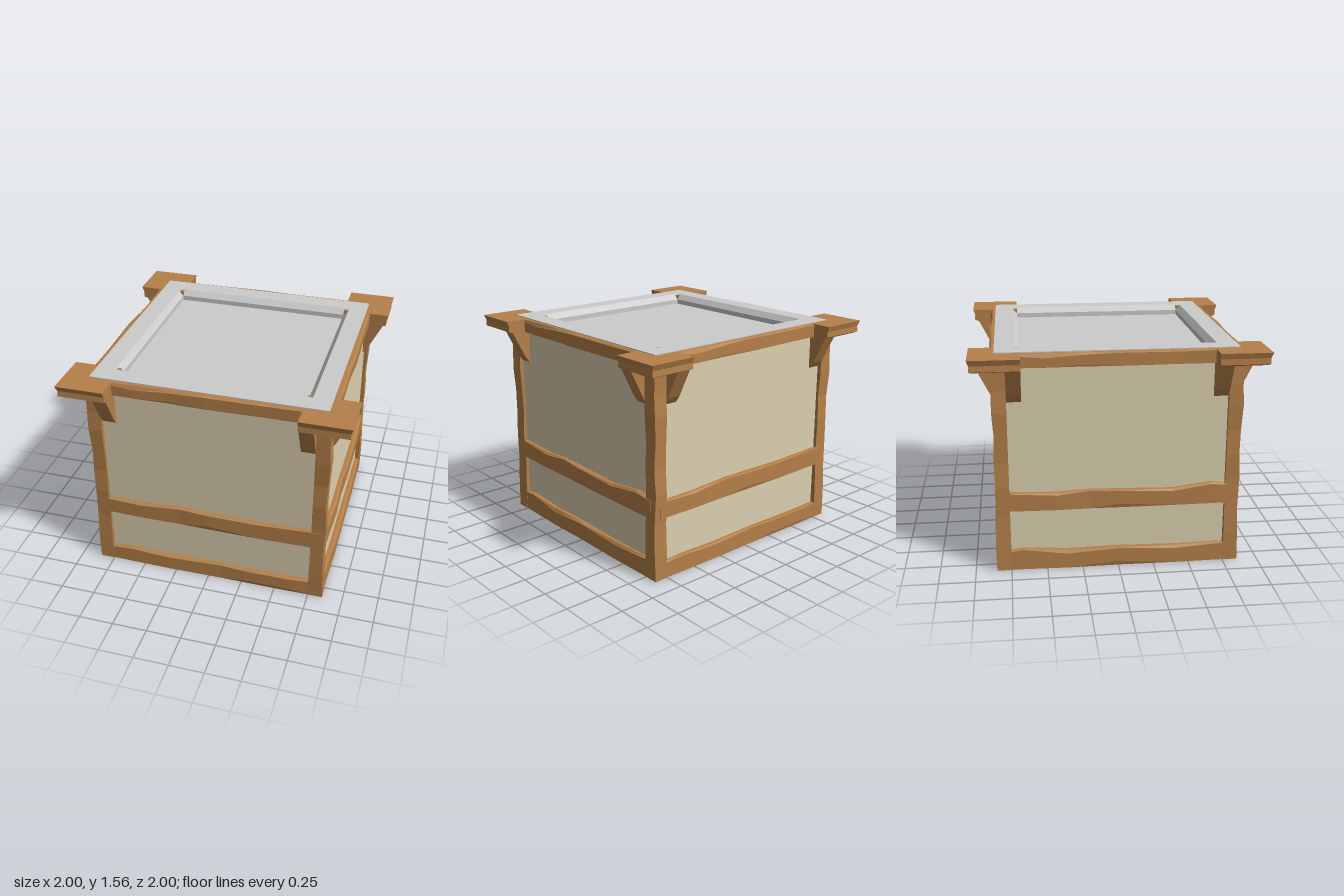
import * as THREE from 'three';

const wood = new THREE.MeshStandardMaterial({ color: 0xb5804a, flatShading: true });
const plaster = new THREE.MeshStandardMaterial({ color: 0xdcd0b0, flatShading: true });
const grey = new THREE.MeshStandardMaterial({ color: 0xcccccc, flatShading: true });

function part(name, geometry, material) {
  const flat = geometry.index ? geometry.toNonIndexed() : geometry;
  flat.computeVertexNormals();
  const mesh = new THREE.Mesh(flat, material);
  mesh.name = name;
  return mesh;
}

// Faceted solid through a row of equal-sized cross-sections, capped at both ends
function loft(sections) {
  const pos = [];
  const tri = (...points) => points.forEach((p) => pos.push(...p));
  const n = sections[0].length;
  for (let i = 0; i + 1 < sections.length; i++) {
    const s = sections[i], t = sections[i + 1];
    for (let j = 0; j < n; j++) {
      const k = (j + 1) % n;
      tri(s[j], t[j], t[k]);
      tri(s[j], t[k], s[k]);
    }
  }
  const first = sections[0], last = sections[sections.length - 1];
  for (let j = 1; j + 1 < n; j++) {
    tri(first[0], first[j], first[j + 1]);
    tri(last[0], last[j + 1], last[j]);
  }
  const g = new THREE.BufferGeometry();
  g.setAttribute('position', new THREE.Float32BufferAttribute(pos, 3));
  return g;
}

// Rough-hewn beam along x; each row: x, top, face depth, lift of lower edge, drop of upper edge
function beam(name, bottom, rows) {
  return part(name, loft(rows.map(([x, top, z, lift, drop]) => [
    [x, bottom, 0.8],
    [x, bottom, z - lift * 0.3],
    [x, bottom + lift + 0.002, z],
    [x, top - drop, z],
    [x, top, z - 0.015],
    [x, top, 0.8],
  ])), wood);
}

const topRows = [
  [-0.8, 1.553, 0.85, 0, 0.005], [-0.5, 1.553, 0.858, 0, 0.03], [-0.25, 1.553, 0.855, 0.01, 0.015],
  [0, 1.554, 0.862, 0, 0.006], [0.4, 1.554, 0.853, 0, 0.01], [0.8, 1.553, 0.852, 0, 0.004],
];
const sides = [
  { // front and back
    middle: [
      [-0.8, 0.565, 0.848, 0, 0.005], [-0.5, 0.565, 0.855, 0, 0.012], [-0.2, 0.58, 0.852, 0, 0.004],
      [0, 0.577, 0.862, 0.028, 0.006], [0.35, 0.57, 0.858, 0, 0.005], [0.8, 0.58, 0.848, 0, 0.003],
    ],
    lower: [
      [-0.8, 0.115, 0.85, 0, 0.01], [-0.6, 0.125, 0.855, 0, 0.004], [-0.3, 0.117, 0.858, 0, 0.01],
      [0.1, 0.125, 0.853, 0, 0.004], [0.28, 0.12, 0.86, 0.022, 0.004], [0.6, 0.12, 0.86, 0.02, 0.004],
      [0.8, 0.125, 0.85, 0, 0.004],
    ],
  },
  { // left and right
    middle: [
      [-0.8, 0.58, 0.848, 0, 0.005], [-0.42, 0.567, 0.858, 0, 0.015], [-0.2, 0.58, 0.85, 0, 0.004],
      [0, 0.575, 0.862, 0.028, 0.006], [0.38, 0.565, 0.855, 0, 0.015], [0.65, 0.6, 0.852, 0, 0.012],
      [0.8, 0.575, 0.848, 0, 0.003],
    ],
    lower: [
      [-0.8, 0.135, 0.85, 0, 0.005], [-0.66, 0.155, 0.853, 0, 0.005], [-0.36, 0.135, 0.86, 0, 0.025],
      [0, 0.14, 0.862, 0.03, 0.006], [0.4, 0.132, 0.857, 0, 0.02], [0.8, 0.138, 0.85, 0, 0.004],
    ],
  },
];

function createSide({ middle, lower }) {
  const side = new THREE.Group();
  side.add(beam('topBeam', 1.46, topRows), beam('middleBeam', 0.445, middle), beam('bottomBeam', 0.002, lower));
  return side;
}

// One corner: wavy post, flared cap block and two braces
function createCorner() {
  const corner = new THREE.Group();
  const edge = [
    [0.002, 0.855, 0.853], [0.2, 0.85, 0.856], [0.4, 0.843, 0.85], [0.62, 0.85, 0.843], [0.8, 0.84, 0.848],
    [0.98, 0.845, 0.84], [1.15, 0.853, 0.85], [1.3, 0.845, 0.85], [1.48, 0.85, 0.845],
  ];
  corner.add(part('cornerPost', loft(edge.map(([y, x, z]) => [
    [0.75, y, 0.75], [x, y, 0.75], [x, y, z], [0.75, y, z],
  ])), wood));

  const cap = [[1.465, 0.965, 0.965], [1.475, 0.988, 0.98], [1.515, 0.985, 0.978], [1.554, 1, 0.99]];
  corner.add(part('capBlock', loft(cap.map(([y, x, z]) => [
    [0.65, y, 0.65], [x, y, 0.65], [x, y, z], [0.65, y, z],
  ])), wood));

  const profile = [[0.8, 1.222], [0.825, 1.222], [0.86, 1.27], [0.915, 1.38], [0.96, 1.47], [0.8, 1.47]];
  corner.add(part('frontBrace', loft([0.65, 0.75].map((x) => profile.map(([d, y]) => [x, y, d]))), wood));
  corner.add(part('sideBrace', loft([0.75, 0.65].map((z) => profile.map(([d, y]) => [d, y, z]))), wood));
  return corner;
}

export function createModel() {
  const model = new THREE.Group();
  model.name = 'building';

  // Plaster walls and underside
  const walls = part('walls', new THREE.BoxGeometry(1.64, 1.47, 1.64), plaster);
  walls.position.y = 0.735;
  model.add(walls);

  // Flat roof with a bevelled, sunken centre
  const roofProfile = [[0.82, 1.46], [0.82, 1.56], [0.685, 1.56], [0.65, 1.52], [0.65, 1.485], [0, 1.485]]
    .map(([r, y]) => new THREE.Vector2(r * Math.SQRT2, y));
  const roof = new THREE.LatheGeometry(roofProfile, 4).rotateY(Math.PI / 4);
  model.add(part('roof', roof, grey));

  // Timber frame, repeated around the four sides
  for (let i = 0; i < 4; i++) {
    const side = createSide(sides[i % 2]);
    const corner = createCorner();
    side.name = 'sideBeams' + (i + 1);
    corner.name = 'corner' + (i + 1);
    side.rotation.y = corner.rotation.y = i * Math.PI / 2;
    model.add(side, corner);
  }
  return model;
}
